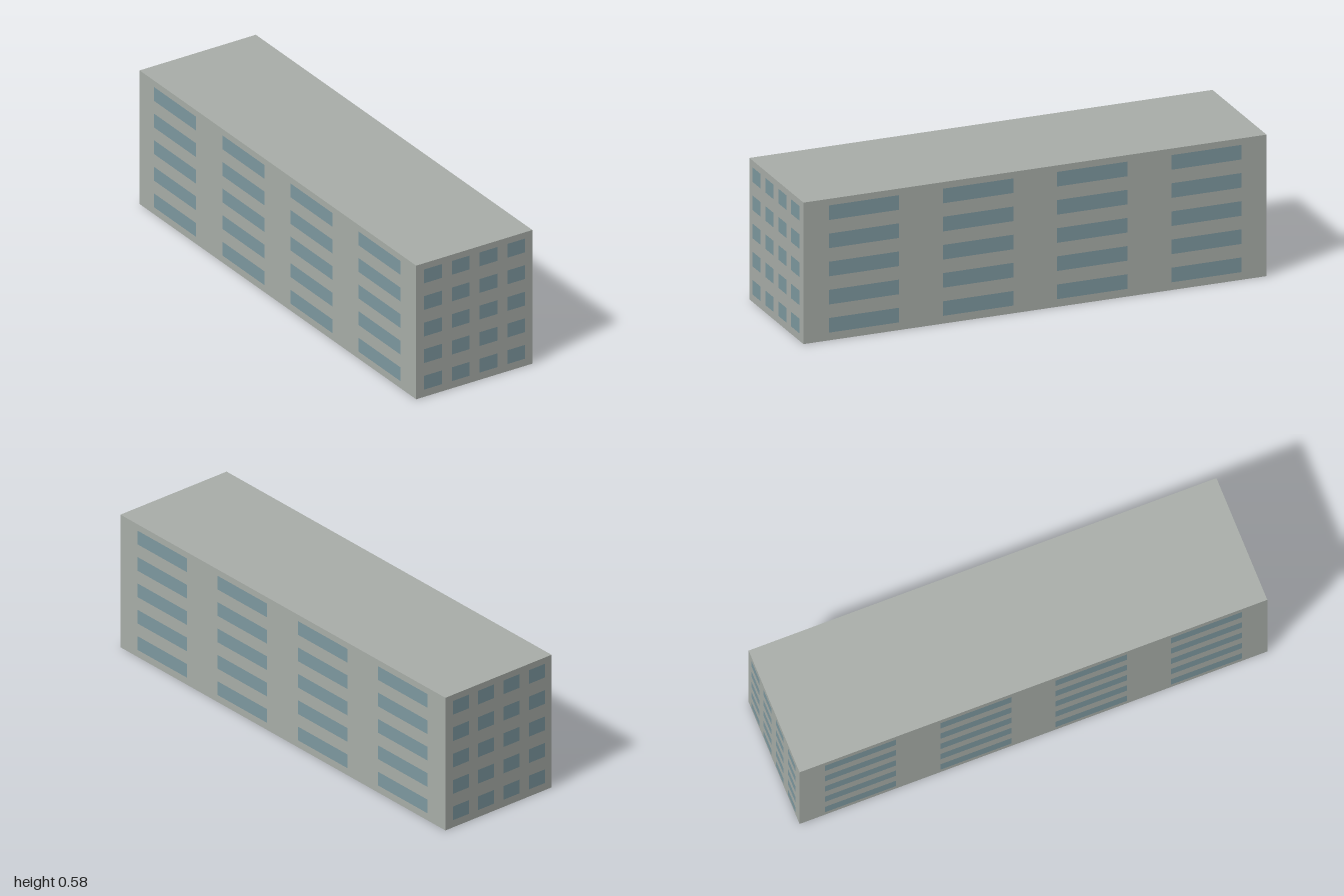
import * as THREE from 'three';

const WIDTH = 0.536, LENGTH = 1.934, HEIGHT = 0.581;
const FLOORS = 5, COLUMNS = 4;

export function createModel() {
  const concrete = new THREE.MeshStandardMaterial({ color: 0xa8ada8, side: THREE.DoubleSide });
  concrete.name = 'greyConcrete';
  const glass = new THREE.MeshStandardMaterial({ color: 0x7d989f });
  glass.name = 'blueGlass';

  const building = new THREE.Group();
  building.name = 'building';

  const panel = (name, w, h, material, parent) => {
    const mesh = new THREE.Mesh(new THREE.PlaneGeometry(w, h), material);
    mesh.name = name;
    parent.add(mesh);
    return mesh;
  };

  // One wall with its grid of windows; the group is turned to face outwards
  function addFacade(name, width, distance, angle, columnStep) {
    const facade = new THREE.Group();
    facade.name = name;
    panel(name + 'Wall', width, HEIGHT, concrete, facade).position.set(0, HEIGHT / 2, distance);
    for (let floor = 0; floor < FLOORS; floor++) {
      for (let col = 0; col < COLUMNS; col++) {
        const pane = panel('window', width * 0.152, 0.06, glass, facade);
        const x = (col - (COLUMNS - 1) / 2) * columnStep * width;
        pane.position.set(x, 0.0625 + floor * 0.1156, distance + 0.002);
      }
    }
    facade.rotation.y = angle;
    building.add(facade);
  }

  addFacade('front', WIDTH, LENGTH / 2, 0, 0.2385);
  addFacade('leftSide', LENGTH, WIDTH / 2, Math.PI / 2, 0.2465);
  addFacade('back', WIDTH, LENGTH / 2, Math.PI, 0.2385);
  addFacade('rightSide', LENGTH, WIDTH / 2, -Math.PI / 2, 0.2465);

  // Flat roof; the underside of the shell stays open
  const roof = panel('roof', WIDTH, LENGTH, concrete, building);
  roof.rotation.x = -Math.PI / 2;
  roof.position.y = HEIGHT;

  // The block stands slightly turned on its plot
  building.rotation.y = 0.1807;

  const model = new THREE.Group();
  model.name = 'apartmentBlock';
  model.add(building);
  return model;
}
